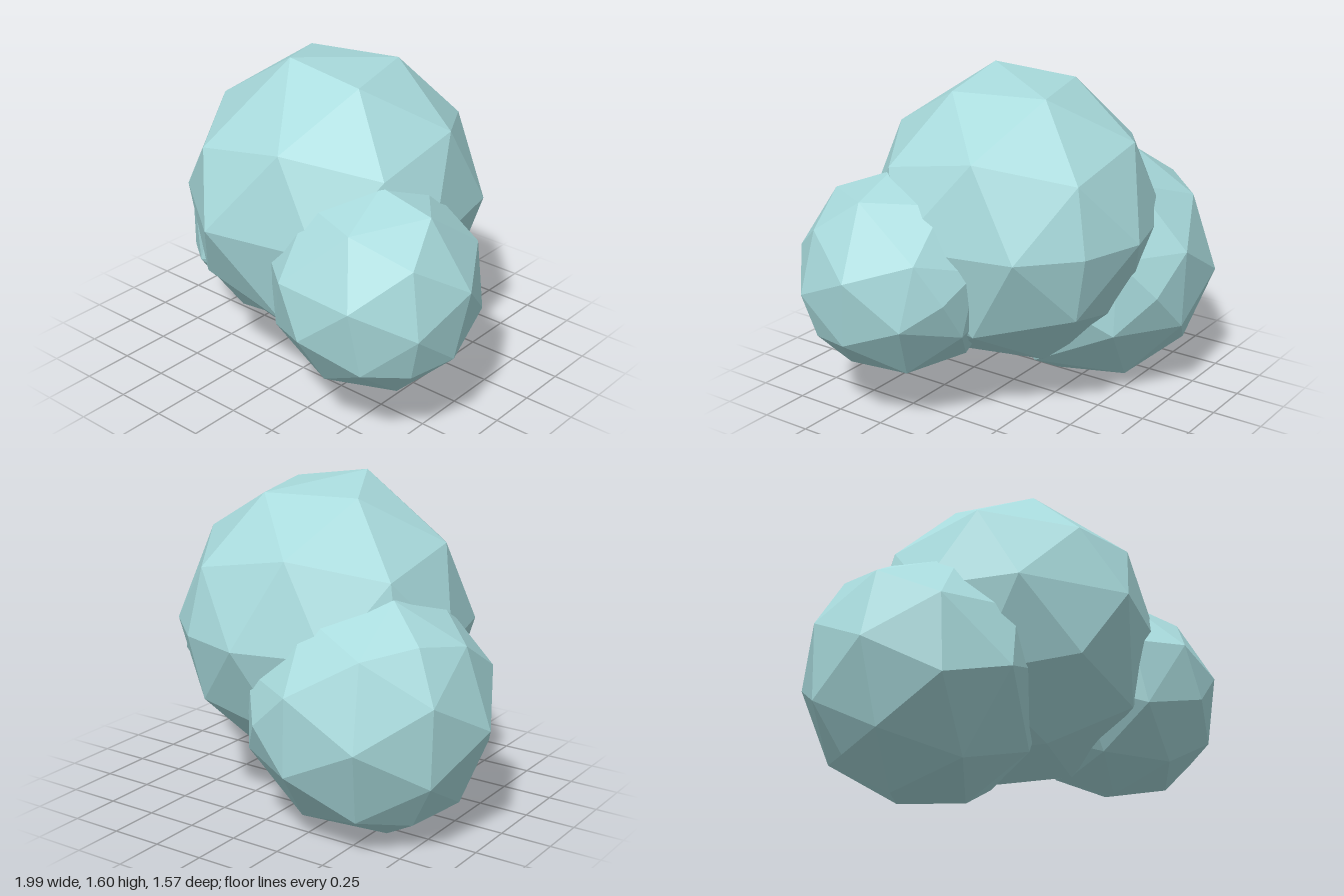
import * as THREE from 'three';
import { ConvexGeometry } from 'three/addons/geometries/ConvexGeometry.js';

const V = (x, y, z) => new THREE.Vector3(x, y, z);

// Faceted unit lump: an octahedral sphere with three of its poles
// slid sideways and fused with a neighbouring point.
function lumpGeometry() {
  const axes = [V(1, 0, 0), V(0, 1, 0), V(0, 0, 1)];
  const dirs = axes.flatMap(a => [a, a.clone().negate()]);
  const fused = [
    [axes[0], V(0, 0, -1)],
    [axes[1], axes[2]],
    [axes[2], axes[0]],
  ];
  const points = [];
  for (const pole of dirs) {
    const fuse = fused.find(([p]) => p.equals(pole));
    if (!fuse) points.push(pole.clone());
    for (const side of dirs) {
      if (Math.abs(pole.dot(side)) > 0.5) continue;
      const slid = fuse && fuse[1].equals(side);
      points.push(slid
        ? pole.clone().multiplyScalar(0.985).addScaledVector(side, 0.3)
        : pole.clone().multiplyScalar(2).add(side).normalize());
    }
  }
  // centres of the eight octants
  for (const x of [-1, 1]) for (const y of [-1, 1]) for (const z of [-1, 1]) {
    points.push(V(x, y, z).normalize());
  }
  return new ConvexGeometry(points);
}

export function createModel() {
  const group = new THREE.Group();
  group.name = 'lumpCluster';
  const material = new THREE.MeshStandardMaterial({ color: 0xa8dadc, flatShading: true });
  const geometry = lumpGeometry();

  // name, radius, centre, roll in degrees
  const lumps = [
    ['mainLump', 0.72, [-0.01, 0.89, 0], 0],
    ['leftLump', 0.5, [0.5, 0.69, 0.3], 59],
    ['rightLump', 0.6, [-0.41, 0.577, -0.22], -43],
  ];
  for (const [name, radius, centre, roll] of lumps) {
    const lump = new THREE.Mesh(geometry, material);
    lump.name = name;
    lump.scale.setScalar(radius);
    lump.position.set(...centre);
    lump.rotation.set(0, THREE.MathUtils.degToRad(-29.5), THREE.MathUtils.degToRad(roll), 'YXZ');
    group.add(lump);
  }
  return group;
}
